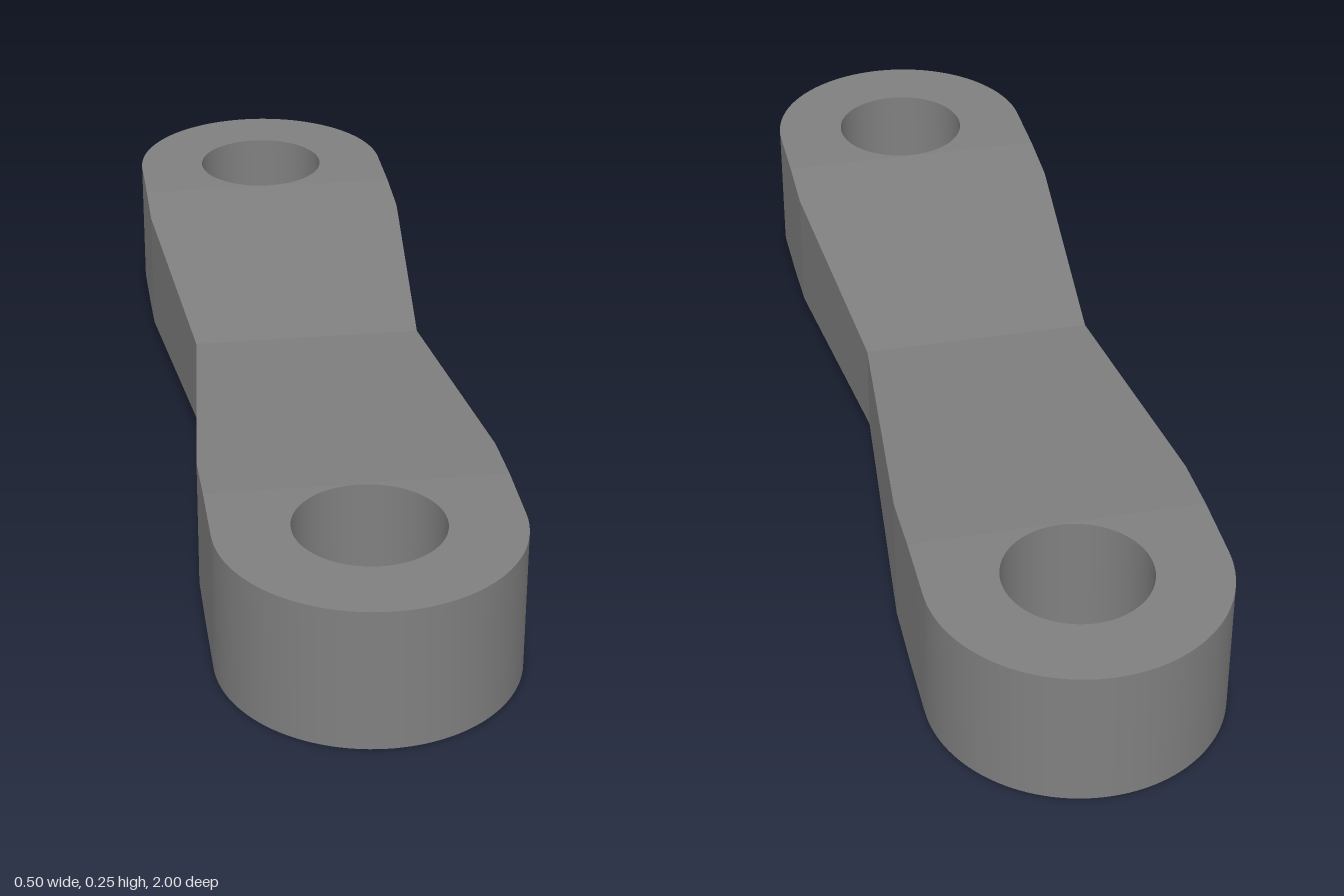
import * as THREE from 'three';
import { toCreasedNormals } from 'three/addons/utils/BufferGeometryUtils.js';

const R = 0.252;        // half width of the ends
const H = 0.25;         // full thickness
const PIN = 1 - R;      // eye centre along z
const HOLE = 0.125;     // eye radius
const JOIN = 0.62;      // where the thickness starts to taper
const SIDE = 0.504;     // where the width starts to taper
const WAIST_X = 0.207;  // half width at the waist
const WAIST_Y = 0.082;  // half thickness at the waist

// Rounded end with a through hole, open on the side that meets the arm
function makeEndGeometry() {
  const shape = new THREE.Shape();
  shape.moveTo(-R, JOIN);
  shape.lineTo(R, JOIN);
  shape.lineTo(R, PIN);
  shape.absarc(0, PIN, R, 0, Math.PI, false);
  shape.closePath();
  const hole = new THREE.Path();
  hole.absarc(0, PIN, HOLE, 0, Math.PI * 2, true);
  shape.holes.push(hole);

  const solid = new THREE.ExtrudeGeometry(shape, { depth: H, bevelEnabled: false, curveSegments: 32 });
  const p = solid.attributes.position;
  const kept = [];
  for (let i = 0; i < p.count; i += 3) {
    const inner = [0, 1, 2].every((k) => Math.abs(p.getY(i + k) - JOIN) < 1e-5);
    if (inner) continue;
    for (let k = 0; k < 3; k++) kept.push(p.getX(i + k), p.getY(i + k), p.getZ(i + k));
  }
  const geometry = new THREE.BufferGeometry();
  geometry.setAttribute('position', new THREE.Float32BufferAttribute(kept, 3));
  geometry.rotateX(-Math.PI / 2);
  return toCreasedNormals(geometry, Math.PI / 6);
}

// Arm narrowing in width and thickness towards the middle
function makeArmGeometry() {
  const stations = [-JOIN, -SIDE, 0, SIDE, JOIN];
  const box = new THREE.BoxGeometry(2, 2, 4, 1, 1, 4);
  const p = box.attributes.position;
  for (let i = 0; i < p.count; i++) {
    const z = stations[Math.round(p.getZ(i)) + 2];
    const halfX = THREE.MathUtils.lerp(WAIST_X, R, Math.min(1, Math.abs(z) / SIDE));
    const halfY = THREE.MathUtils.lerp(WAIST_Y, H / 2, Math.abs(z) / JOIN);
    p.setXYZ(i, p.getX(i) * halfX, H / 2 + p.getY(i) * halfY, z);
  }
  // Leave out the two end faces, hidden inside the part
  box.setIndex(Array.from(box.index.array).slice(0, box.groups[4].start));
  box.clearGroups();
  const geometry = box.toNonIndexed();
  geometry.computeVertexNormals();
  return geometry;
}

export function createModel() {
  const group = new THREE.Group();
  group.name = 'connectingLink';
  const steel = new THREE.MeshStandardMaterial({ color: 0x808080 });
  steel.name = 'grey steel';

  const arm = new THREE.Mesh(makeArmGeometry(), steel);
  arm.name = 'taperedArm';
  group.add(arm);

  const endGeometry = makeEndGeometry();
  ['backEye', 'frontEye'].forEach((name, i) => {
    const eye = new THREE.Mesh(endGeometry, steel);
    eye.name = name;
    eye.rotation.y = i * Math.PI;
    group.add(eye);
  });
  return group;
}
